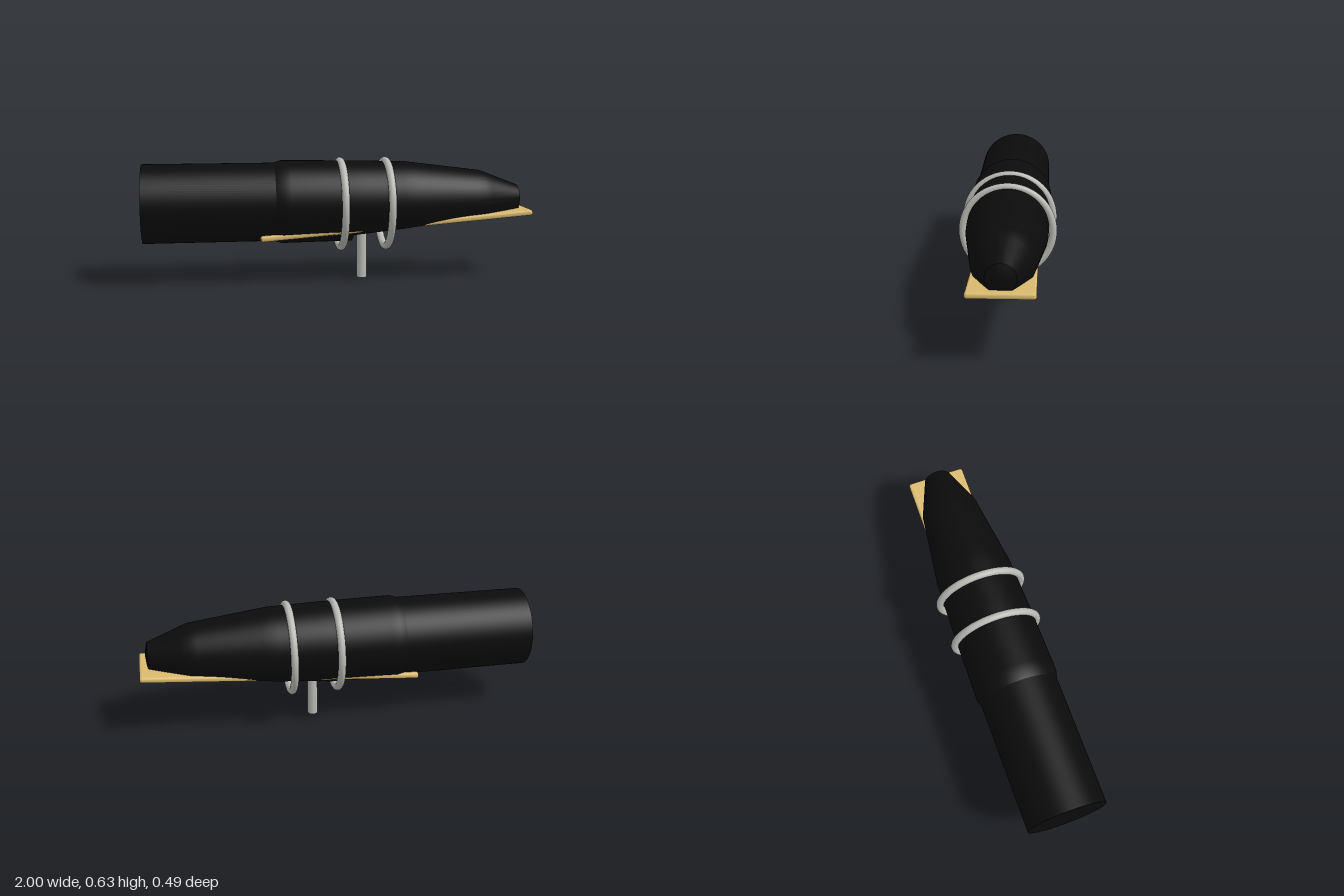
import * as THREE from 'three';
import { toCreasedNormals } from 'three/addons/utils/BufferGeometryUtils.js';
import { RoundedBoxGeometry } from 'three/addons/geometries/RoundedBoxGeometry.js';

const ebonite = new THREE.MeshStandardMaterial({ color: 0x0b0b0b });
ebonite.name = 'black ebonite';
const cane = new THREE.MeshStandardMaterial({ color: 0xd8b96e });
cane.name = 'cane';
const metal = new THREE.MeshStandardMaterial({ color: 0xb9b9b5 });
metal.name = 'silver metal';

const AXIS_Y = 0.406;
const CUT_X = 0.06;

function add(group, name, geometry, material, x, y, z = 0) {
  const mesh = new THREE.Mesh(geometry, material);
  mesh.name = name;
  mesh.position.set(x, y, z);
  group.add(mesh);
  return mesh;
}

// Turned body along x, with the underside cut to a sloping flat table
function bodyGeometry() {
  const profile = [[-0.34, 0], [-0.34, 0.2], [-0.3, 0.213], [CUT_X, 0.208], [CUT_X + 0.0002, 0.208],
    [0.35, 0.2], [0.75, 0.149], [0.953, 0.07], [0.96, 0.045], [0.965, 0]];
  const points = [];
  profile.forEach(([x, r], i) => {
    points.push(new THREE.Vector2(r, x));
    const next = profile[i + 1];
    if (!next) return;
    const steps = Math.max(1, Math.round((next[0] - x) / 0.04));
    for (let k = 1; k < steps; k++) {
      const t = k / steps;
      points.push(new THREE.Vector2(r + (next[1] - r) * t, x + (next[0] - x) * t));
    }
  });
  const geometry = new THREE.LatheGeometry(points, 96);
  geometry.rotateZ(-Math.PI / 2);
  const pos = geometry.attributes.position;
  for (let i = 0; i < pos.count; i++) {
    const x = pos.getX(i);
    if (x > CUT_X + 0.0001) {
      const table = 0.243 + (x - CUT_X) * 0.125 - AXIS_Y;
      pos.setY(i, Math.max(pos.getY(i), table));
    }
  }
  return toCreasedNormals(geometry, 0.35);
}

export function createModel() {
  const model = new THREE.Group();
  model.name = 'mouthpiece';

  // Shank and beaked body
  const shank = new THREE.CylinderGeometry(0.201, 0.201, 0.7, 96);
  shank.rotateZ(-Math.PI / 2);
  add(model, 'shank', shank, ebonite, -0.65, AXIS_Y);
  add(model, 'body', bodyGeometry(), ebonite, 0, AXIS_Y);

  // Reed lying on the sloping table
  const reed = add(model, 'reed', new RoundedBoxGeometry(1.417, 0.03, 0.308, 4, 0.013), cane, 0.293, 0.29);
  reed.rotation.z = Math.atan(0.078);

  // Ligature: two rings and a screw post
  const ligature = new THREE.Group();
  ligature.name = 'ligature';
  model.add(ligature);
  for (const [name, x] of [['rearRing', 0.007], ['frontRing', 0.244]]) {
    const ring = new THREE.TorusGeometry(0.223, 0.0195, 20, 96);
    ring.rotateY(Math.PI / 2);
    add(ligature, name, ring, metal, x, 0.389);
  }
  add(ligature, 'screwPost', new THREE.CylinderGeometry(0.026, 0.026, 0.237, 32), metal, 0.122, 0.1185);

  return model;
}
